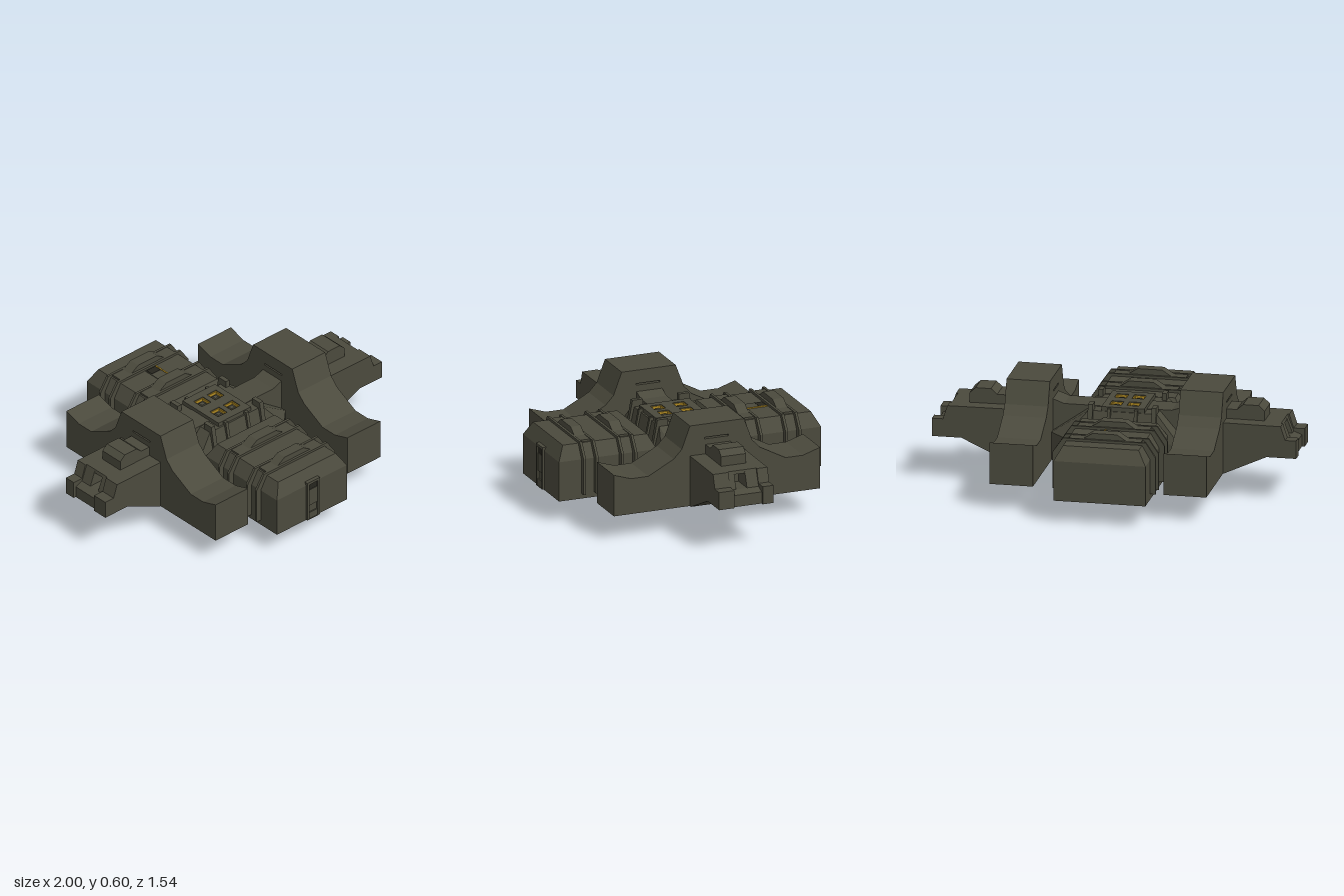
import * as THREE from 'three';
import { ConvexGeometry } from 'three/addons/geometries/ConvexGeometry.js';

const mat = (name, color) => {
  const m = new THREE.MeshStandardMaterial({ color });
  m.name = name;
  return m;
};

export function createModel() {
  const olive = mat('olive hull', 0x4b4a3d);
  const gold = mat('gold trim', 0xb08a22);
  const dark = mat('dark recess', 0x26251e);
  const model = new THREE.Group();
  model.name = 'quadModuleStation';

  const add = (name, geometry, material = olive, parent = model) => {
    const mesh = new THREE.Mesh(geometry, material);
    mesh.name = name;
    parent.add(mesh);
    return mesh;
  };
  const group = (name) => {
    const g = new THREE.Group();
    g.name = name;
    model.add(g);
    return g;
  };
  // Box given by its extents
  const box = (x0, x1, y0, y1, z0, z1) =>
    new THREE.BoxGeometry(x1 - x0, y1 - y0, z1 - z0)
      .translate((x0 + x1) / 2, (y0 + y1) / 2, (z0 + z1) / 2);
  const outline = (pts) => new THREE.Shape(pts.map(([a, b]) => new THREE.Vector2(a, b)));
  const rect = (a0, a1, b0, b1) => outline([[a0, b0], [a1, b0], [a1, b1], [a0, b1]]);
  const extrude = (shape, depth) => new THREE.ExtrudeGeometry(shape, { depth, bevelEnabled: false });
  // Shape in x,y pushed along z
  const alongZ = (shape, z0, z1) => extrude(shape, z1 - z0).translate(0, 0, z0);
  // Shape in z,y pushed along x
  const alongX = (shape, x0, x1) => extrude(shape, x1 - x0).rotateY(-Math.PI / 2).translate(x1, 0, 0);
  // Shape in x,z pushed along y
  const alongY = (shape, y0, y1) => extrude(shape, y1 - y0).rotateX(Math.PI / 2).translate(0, y1, 0);
  // Convex solid from stacked rectangles [y, x0, x1, z0, z1]
  const stack = (levels) => new ConvexGeometry(levels.flatMap(([y, x0, x1, z0, z1]) =>
    [[x0, z0], [x1, z0], [x1, z1], [x0, z1]].map(([x, z]) => new THREE.Vector3(x, y, z))));

  // Tall side arms with flared ends, slotted under the cap
  const half = [[0.6, 0.145], [0.6, 0.378], [0.5, 0.346], [0.4, 0.346], [0.252, 0.424], [0.205, 0.473], [0.157, 0.6]];
  const armPts = [...half, ...half.map(([z, y]) => [-z, y]).reverse()].map(([z, y]) => [z - 0.004, y]);
  for (const [name, x0, x1] of [['rightArm', -0.6, -0.365], ['leftArm', 0.352, 0.59]]) {
    const arm = outline(armPts);
    arm.holes.push(rect(-0.07, 0.07, 0.515, 0.524));
    add(name, alongX(arm, x0, x1));
  }

  // Front and rear modules with bevelled roofs
  const X0 = -0.3, X1 = 0.205;
  const modules = [
    ['front', 0.185, 0.755, [0.32, 0.398, 0.545, 0.618]],
    ['rear', -0.77, -0.195, [-0.635, -0.558, -0.41, -0.332]],
  ];
  for (const [name, z0, z1, ribs] of modules) {
    const g = group(name + 'Module');
    add(name + 'Shell', stack([
      [0.127, X0, X1, z0, z1],
      [0.35, X0, X1, z0, z1],
      [0.428, X0 + 0.045, X1 - 0.045, z0 + 0.04, z1 - 0.04],
    ]), olive, g);
    // Thin ribs wrap the sides and roof
    const rib = outline([[-0.33, 0.157], [-0.33, 0.36], [-0.275, 0.442], [0.18, 0.442], [0.237, 0.36], [0.237, 0.157]]);
    for (const z of ribs) add('rib', alongZ(rib, z - 0.007, z + 0.007), olive, g);
    // A raised band and a ramped pad sit between each pair of ribs
    const pad = outline([[-0.17, 0.438], [-0.115, 0.474], [0.02, 0.474], [0.076, 0.438]]);
    for (const i of [0, 2]) {
      add('roofBand', box(X0 + 0.055, X1 - 0.055, 0.42, 0.439, ribs[i], ribs[i + 1]), olive, g);
      add('roofPad', alongZ(pad, ribs[i] + 0.007, ribs[i + 1] - 0.007), olive, g);
    }
  }

  // Door frame and stepped door on the front module
  const door = group('frontDoor');
  const frame = rect(-0.09, 0.0, 0.13, 0.37);
  frame.holes.push(rect(-0.077, -0.013, 0.132, 0.355));
  add('doorFrame', alongZ(frame, 0.73, 0.767), olive, door);
  add('doorOpening', box(-0.077, -0.013, 0.315, 0.352, 0.75, 0.757), dark, door);
  add('doorPanel', box(-0.077, -0.013, 0.215, 0.315, 0.75, 0.76), olive, door);
  add('doorStep', box(-0.077, -0.013, 0.132, 0.17, 0.75, 0.762), olive, door);

  // Roof hatch on the rear module
  const hatch = group('roofHatch');
  add('hatchPlate', box(-0.08, -0.01, 0.425, 0.431, -0.545, -0.42), olive, hatch);
  add('hatchOpening', box(-0.076, -0.014, 0.427, 0.433, -0.543, -0.5), dark, hatch);
  add('hatchTrim', box(-0.012, -0.004, 0.425, 0.434, -0.545, -0.42), gold, hatch);

  // Sloped hub with two cut corners on its left side
  const foot = [[-0.365, -0.197], [0.27, -0.197], [0.355, -0.11], [0.355, 0.095], [0.27, 0.18], [-0.365, 0.18]];
  const crown = [[-0.235, -0.16], [0.14, -0.16], [0.14, 0.145], [-0.235, 0.145]];
  add('hub', new ConvexGeometry([
    ...foot.flatMap(([x, z]) => [new THREE.Vector3(x, 0.145, z), new THREE.Vector3(x, 0.3, z)]),
    ...crown.map(([x, z]) => new THREE.Vector3(x, 0.452, z)),
  ]));

  // Cross beam rising to meet both arms
  add('crossBeam', alongZ(outline([
    [-0.37, 0.3], [-0.37, 0.48], [-0.3, 0.456], [0.29, 0.456], [0.355, 0.48], [0.355, 0.3],
  ]), -0.082, 0.067));

  // Upright struts at the hub edges
  for (const x of [-0.222, -0.122, 0.026, 0.127]) {
    const outer = x < -0.2 || x > 0.1;
    const w = outer ? 0.013 : 0.009;
    const top = outer ? 0.49 : 0.47;
    for (const s of [1, -1]) {
      add('hubStrut', alongX(outline([
        [s * 0.105 - 0.01, 0.42], [s * 0.105 - 0.01, top], [s * 0.165 - 0.01, top], [s * 0.2 - 0.01, 0.3], [s * 0.15, 0.3],
      ]), x - w, x + w));
    }
  }

  // Top plate with four gold-lined wells
  const deck = group('topDeck');
  const plate = rect(-0.165, 0.07, -0.135, 0.155);
  for (const x of [-0.093, 0.003]) {
    for (const z of [-0.075, 0.055]) {
      const r = 0.033;
      plate.holes.push(rect(x - r, x + r, -z - r, -z + r));
      const lining = rect(x - r, x + r, -z - r, -z + r);
      lining.holes.push(rect(x - r + 0.006, x + r - 0.006, -z - r + 0.006, -z + r - 0.006));
      add('wellLining', extrude(lining, 0.016).rotateX(-Math.PI / 2).translate(0, 0.455, 0), gold, deck);
      add('wellCap', stack([
        [0.45, x - 0.026, x + 0.026, z - 0.026, z + 0.026],
        [0.465, x - 0.012, x + 0.012, z - 0.012, z + 0.012],
      ]), olive, deck);
    }
  }
  add('deckPlate', extrude(plate, 0.028).rotateX(-Math.PI / 2).translate(0, 0.448, 0), olive, deck);

  // Hollow docking collar underneath
  const collar = rect(-0.14, 0.047, -0.127, 0.124);
  collar.holes.push(rect(-0.1, 0.007, -0.075, 0.072));
  add('dockingCollar', alongY(collar, 0, 0.146));

  // Wings: sliced across z so that the tips have a notch and a slot
  for (const [name, s] of [['leftWing', 1], ['rightWing', -1]]) {
    const g = group(name);
    const flip = (pts) => outline(pts.map(([x, y]) => [s * x, y]));
    const root = [[0.58, 0.43], [0.58, 0.145], [0.605, 0.145], [0.838, 0.252]];
    const lug = flip([...root, [1, 0.252], [1, 0.352], [0.94, 0.352], [0.915, 0.428]]);
    const middle = flip([...root, [0.985, 0.252], [0.985, 0.318], [0.94, 0.335], [0.905, 0.428]]);
    const slot = flip([...root, [0.985, 0.252], [0.985, 0.318], [0.94, 0.335],
      [0.82, 0.335], [0.82, 0.41], [0.91, 0.41], [0.905, 0.428]]);
    const slices = [[lug, -0.162, -0.1], [middle, -0.1, -0.033], [slot, -0.033, 0.03], [middle, 0.03, 0.065], [lug, 0.065, 0.154]];
    for (const [shape, z0, z1] of slices) add('wingSlice', alongZ(shape, z0, z1), olive, g);
    // Bevelled housing on the wing roof
    add('wingHousing', alongZ(flip([
      [0.58, 0.42], [0.81, 0.42], [0.81, 0.483], [0.777, 0.513], [0.692, 0.513], [0.658, 0.483], [0.58, 0.483],
    ]), -0.08, 0.063), olive, g);
  }

  return model;
}
